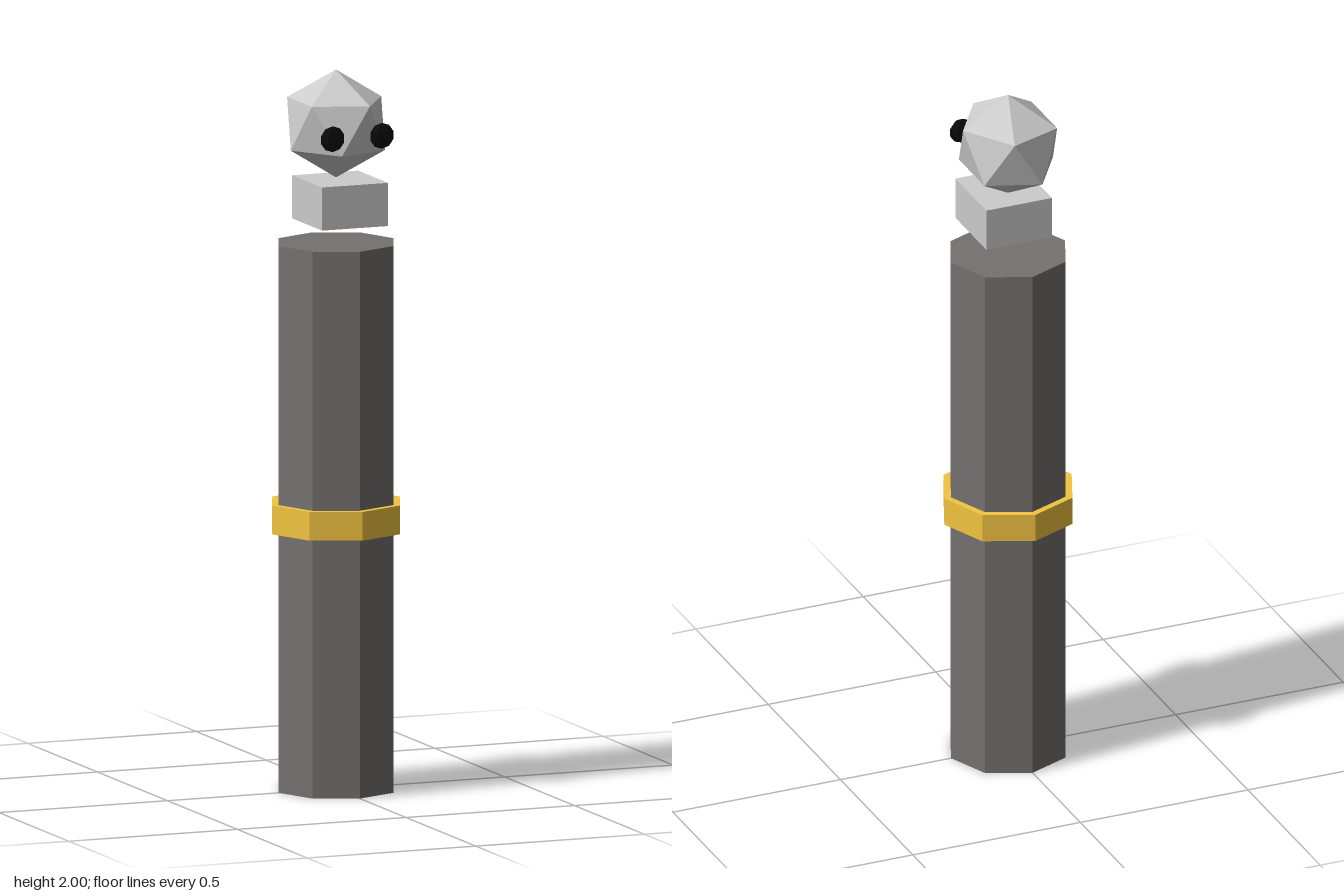
import * as THREE from 'three';
import { ConvexGeometry } from 'three/addons/geometries/ConvexGeometry.js';

const material = (color) => new THREE.MeshStandardMaterial({ color, flatShading: true });

export function createModel() {
  const model = new THREE.Group();
  model.name = 'post figure';

  const grey = material(0xcccccc);
  const dark = material(0x75716f);
  const gold = material(0xf2c440);
  const black = material(0x0a0a0a);

  const add = (name, geometry, mat, x, y, z) => {
    const mesh = new THREE.Mesh(geometry, mat);
    mesh.name = name;
    mesh.position.set(x, y, z);
    model.add(mesh);
    return mesh;
  };

  // Octagonal body column and its belt
  add('body', new THREE.CylinderGeometry(0.17, 0.17, 1.52, 8), dark, 0, 0.76, 0);
  add('belt', new THREE.CylinderGeometry(0.19, 0.19, 0.08, 8), gold, 0, 0.76, 0);

  // Floating neck block, set slightly forward
  add('neck', new THREE.BoxGeometry(0.196, 0.12, 0.214), grey, 0, 1.64, 0.03);

  // Head: icosahedron standing on a corner, two staggered rings of five
  const r = 0.15;
  const ringY = r / Math.sqrt(5);
  const points = [new THREE.Vector3(0, r, 0), new THREE.Vector3(0, -r, 0)];
  for (let i = 0; i < 5; i++) {
    const a = (i * 2 * Math.PI) / 5;
    const x = 2 * ringY * Math.cos(a);
    const z = 2 * ringY * Math.sin(a);
    points.push(new THREE.Vector3(x, ringY, z), new THREE.Vector3(-x, -ringY, -z));
  }
  const head = add('head', new ConvexGeometry(points), grey, 0, 1.85, 0);
  head.scale.z = 1.12;

  // Flattened eyes
  for (const [name, side] of [['leftEye', 1], ['rightEye', -1]]) {
    const eye = add(name, new THREE.SphereGeometry(0.036, 6, 5), black, side * 0.073, 1.835, 0.152);
    eye.scale.z = 0.52;
  }
  return model;
}
